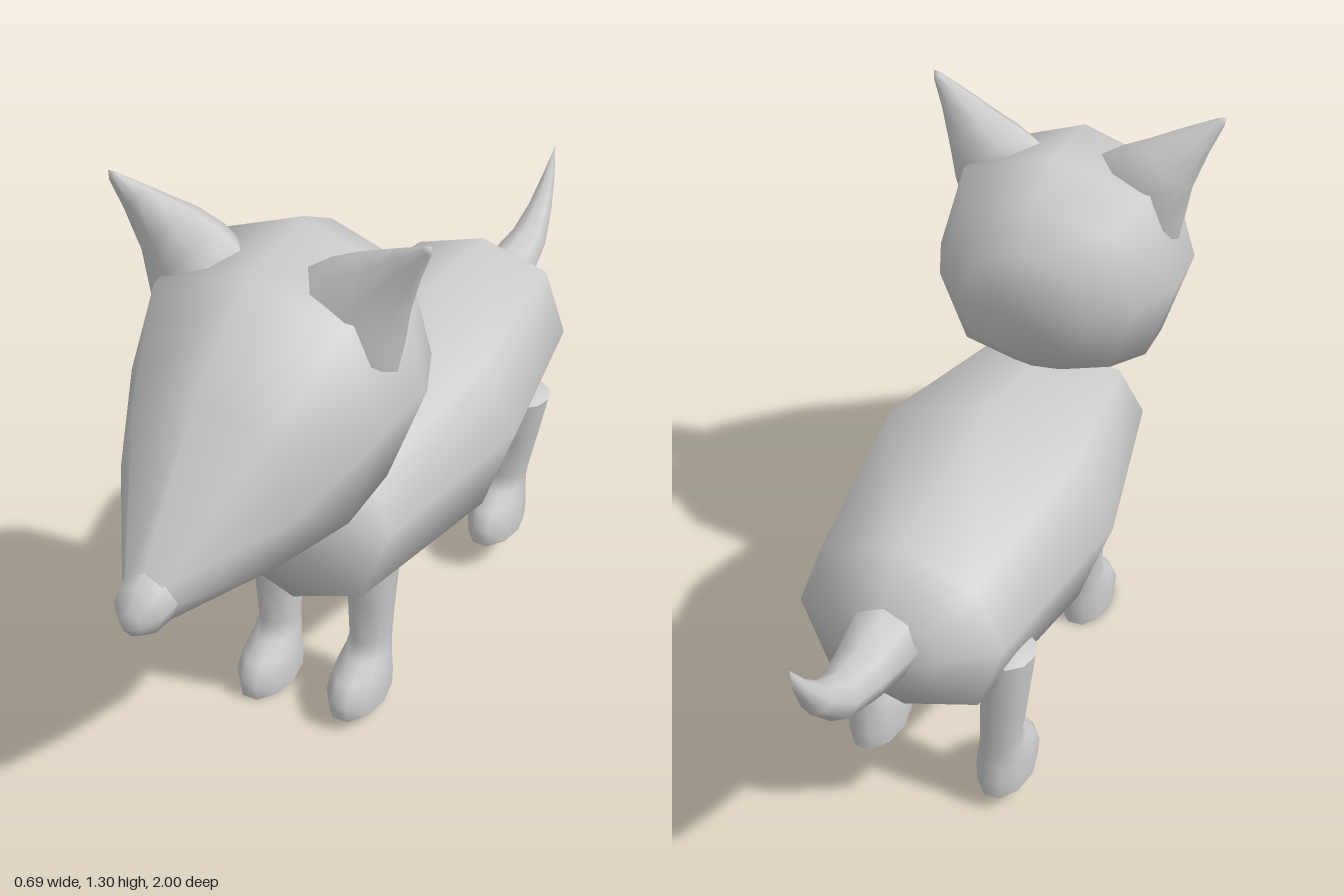
import * as THREE from 'three';

const grey = new THREE.MeshStandardMaterial({ color: 0xcccccc });
grey.name = 'plain grey';
const V = (x, y, z) => new THREE.Vector3(x, y, z);

// Ring of n points around c; u and v are the two half-axis vectors
function ring(c, u, v, n = 8) {
  return Array.from({ length: n }, (_, i) => {
    const a = (i / n) * Math.PI * 2;
    return c.clone().addScaledVector(u, Math.cos(a)).addScaledVector(v, Math.sin(a));
  });
}

// Skin over rings, closed at each end by a centre point (hard = sharp edged cap)
function loft(name, rings, start, end, hardStart = false, hardEnd = false) {
  const n = rings[0].length, pts = rings.flat(), idx = [];
  for (let r = 0; r < rings.length - 1; r++)
    for (let i = 0; i < n; i++) {
      const a = r * n + i, b = r * n + (i + 1) % n;
      idx.push(a, b, b + n, a, b + n, a + n);
    }
  const cap = (r, tip, hard, flip) => {
    let base = r * n;
    if (hard) { base = pts.length; pts.push(...rings[r]); }
    const c = pts.push(tip) - 1;
    for (let i = 0; i < n; i++) {
      const a = base + i, b = base + (i + 1) % n;
      idx.push(...(flip ? [a, b, c] : [b, a, c]));
    }
  };
  cap(0, start, hardStart, false);
  cap(rings.length - 1, end, hardEnd, true);

  // Turn the faces outwards if the enclosed volume is negative
  let volume = 0;
  for (let i = 0; i < idx.length; i += 3)
    volume += pts[idx[i]].clone().cross(pts[idx[i + 1]]).dot(pts[idx[i + 2]]);
  if (volume < 0) idx.reverse();

  const g = new THREE.BufferGeometry().setFromPoints(pts);
  g.setIndex(idx);
  g.computeVertexNormals();
  const m = new THREE.Mesh(g, grey);
  m.name = name;
  return m;
}

// Eight-sided section across z: z at top and bottom, side height, half width, top, bottom
function section([zTop, zBot, yMid, w, top, bot]) {
  const zMid = (zTop + zBot) / 2;
  return Array.from({ length: 8 }, (_, i) => {
    const a = (i / 8) * Math.PI * 2, s = Math.sin(a);
    const k = i % 2 ? 1.06 : 1;
    const y = yMid + s * k * (s > 0 ? top - yMid : yMid - bot);
    return V(Math.cos(a) * w * k, y, zMid + s * (zTop - zBot) / 2);
  });
}

function createLeg(name, x, y, z, topX, topY) {
  // Height, z centre, z radius, x radius: sole, toes, ankle, shin, top
  const rows = [
    [0, 0.05, 0.105, 0.06], [0.045, 0.052, 0.11, 0.063], [0.085, 0.04, 0.093, 0.058],
    [0.115, 0.014, 0.068, 0.05], [0.15, 0, 0.056, 0.046], [0.25, 0, 0.06, 0.052],
    [topY - y, 0, 0.068, 0.058],
  ];
  const rings = rows.map(([h, dz, rz, rx]) => {
    const t = Math.max(0, (h - 0.1) / (topY - y - 0.1));
    return ring(V(x + (topX - x) * t, y + h, z + dz), V(rx, 0, 0), V(0, 0, rz), 10);
  });
  return loft(name, rings, V(x, y, z + 0.05), V(topX, topY + 0.03, z), true, true);
}

// Bent cone from the side of the head
function createEar(name, s) {
  const u = V(0.735 * s, -0.68, 0);
  const rows = [
    [0.168, 1.09, 0.44, 0.13, 0.09], [0.2, 1.14, 0.435, 0.105, 0.082],
    [0.235, 1.188, 0.437, 0.073, 0.064], [0.29, 1.247, 0.455, 0.037, 0.032],
    [0.335, 1.29, 0.468, 0.011, 0.01],
  ];
  const rings = rows.map(([x, y, z, a, b]) =>
    ring(V(x * s, y, z), u.clone().multiplyScalar(a), V(0, 0, b)));
  return loft(name, rings, V(0.16 * s, 1.08, 0.44), V(0.345 * s, 1.302, 0.47), true);
}

export function createModel() {
  const model = new THREE.Group();
  model.name = 'animal';

  // Barrel body, front to back
  const body = [
    [0.35, 0.41, 0.56, 0.22, 0.71, 0.34],
    [-0.08, -0.08, 0.56, 0.3, 0.8, 0.273],
    [-0.55, -0.54, 0.56, 0.225, 0.76, 0.34],
    [-0.625, -0.625, 0.56, 0.12, 0.65, 0.46],
  ].map(section);
  model.add(loft('body', body, V(0, 0.57, 0.47), V(0, 0.55, -0.66)));

  // Head, from the skull to the snout
  const head = [
    [0.13, 0.15, 0.92, 0.15, 1.06, 0.79],
    [0.21, 0.25, 0.92, 0.235, 1.16, 0.7],
    [0.32, 0.4, 0.92, 0.288, 1.215, 0.645],
    [0.54, 0.54, 0.91, 0.278, 1.195, 0.62],
    [0.73, 0.7, 0.81, 0.195, 1.04, 0.635],
    [0.94, 0.94, 0.71, 0.05, 0.765, 0.66],
  ].map(section);
  model.add(loft('head', head, V(0, 0.92, 0.11), V(0, 0.71, 0.96)));

  // Nose
  const nose = [[0.9, 0.72, 0.045], [0.925, 0.715, 0.061], [0.965, 0.705, 0.052], [0.99, 0.69, 0.025]]
    .map(([z, y, r]) => ring(V(0, y, z), V(r, 0, 0), V(0, r, 0)));
  model.add(loft('nose', nose, V(0, 0.72, 0.89), V(0, 0.685, 1)));

  // Ears
  model.add(createEar('leftEar', 1), createEar('rightEar', -1));

  // Tail curving up to a point: z, y, radius, tilt
  const tail = [
    [-0.635, 0.585, 0.08, 0.3], [-0.74, 0.593, 0.062, 0.1], [-0.84, 0.62, 0.049, 0.5],
    [-0.915, 0.682, 0.032, 0.85], [-0.965, 0.752, 0.016, 1.05],
  ].map(([z, y, r, t]) =>
    ring(V(0, y, z), V(r, 0, 0), V(0, r * Math.cos(t), r * Math.sin(t))));
  model.add(loft('tail', tail, V(0, 0.585, -0.62), V(0, 0.82, -1), true));

  // Legs, standing at slightly different heights
  model.add(
    createLeg('frontRightLeg', -0.123, 0, 0.26, -0.123, 0.39),
    createLeg('frontLeftLeg', 0.11, 0.03, 0.26, 0.118, 0.39),
    createLeg('backRightLeg', -0.163, 0.043, -0.405, -0.185, 0.44),
    createLeg('backLeftLeg', 0.148, 0.08, -0.405, 0.19, 0.45),
  );
  return model;
}
